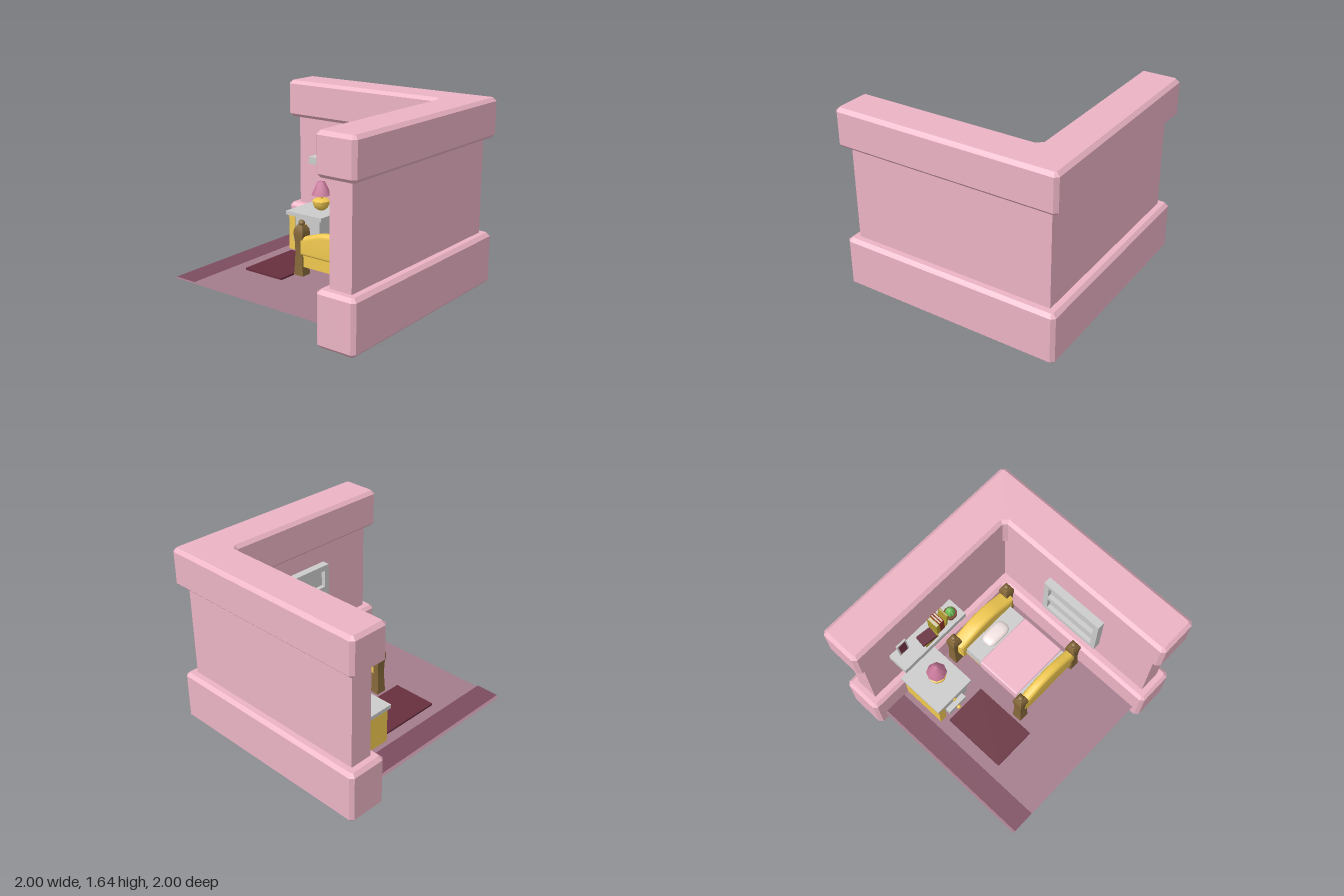
import * as THREE from 'three';
import { RoundedBoxGeometry } from 'three/addons/geometries/RoundedBoxGeometry.js';
import { toCreasedNormals } from 'three/addons/utils/BufferGeometryUtils.js';

const mat = (color, extra = {}) => new THREE.MeshStandardMaterial({ color, ...extra });
const wallPink = mat(0xebb3c4), grey = mat(0xcccccc), yellow = mat(0xf0c850), brown = mat(0x85683a);
const floorMat = mat(0xa37b8a, { side: THREE.DoubleSide });
const stripMat = mat(0x7b4c5e, { side: THREE.DoubleSide });
const plum = mat(0x68303f), olive = mat(0xa8962c), red = mat(0x8a3326), pages = mat(0xd8ccb4);
const lampPink = mat(0xc8789a, { side: THREE.DoubleSide }), blanketPink = mat(0xf0b8ca);
const pillowWhite = mat(0xf2e4e2), green = mat(0x6fbf5a), clay = mat(0x7a4a35);

export function createModel() {
  const room = new THREE.Group();
  room.name = 'bedroom';

  function add(name, geometry, material, parent = room) {
    const m = new THREE.Mesh(geometry, material);
    m.name = name;
    parent.add(m);
    return m;
  }
  // Box given by its lower and upper limits on each axis
  function box(name, material, x0, x1, y0, y1, z0, z1, parent = room) {
    const m = add(name, new THREE.BoxGeometry(x1 - x0, y1 - y0, z1 - z0), material, parent);
    m.position.set((x0 + x1) / 2, (y0 + y1) / 2, (z0 + z1) / 2);
    return m;
  }
  function group(name, parent = room) {
    const g = new THREE.Group();
    g.name = name;
    parent.add(g);
    return g;
  }
  const lathe = (pts, sides) => new THREE.LatheGeometry(pts.map(p => new THREE.Vector2(...p)), sides);

  // L-shaped wall section: outer limit, inner face, height range, chamfer
  function wallSection(name, outer, inner, y0, y1, c) {
    const corners = [[-outer, outer], [-outer, inner], [inner, inner], [inner, -outer], [outer, -outer], [outer, outer]]
      .map(p => new THREE.Vector2(...p));
    const pts = [];
    corners.forEach((p, i) => {
      if (!c) return pts.push(p);
      for (const q of [corners[(i + 5) % 6], corners[(i + 1) % 6]])
        pts.push(q.clone().sub(p).setLength(c).add(p));
    });
    const geo = new THREE.ExtrudeGeometry(new THREE.Shape(pts), {
      depth: y1 - y0 - 2 * c, bevelEnabled: c > 0, bevelSize: c, bevelOffset: -c, bevelThickness: c, bevelSegments: 1,
    });
    geo.rotateX(-Math.PI / 2).translate(0, y0 + c, 0);
    add(name, geo, wallPink);
  }
  wallSection('lowerWallBand', 1, 0.64, 0, 0.46, 0.03);
  wallSection('middleWall', 0.92, 0.72, 0.4, 1.34, 0);
  wallSection('upperWallBand', 1, 0.64, 1.3, 1.64, 0.03);

  // Floor, border strip and rug
  function sheet(name, material, x0, x1, z0, z1, y) {
    const m = add(name, new THREE.PlaneGeometry(x1 - x0, z1 - z0).rotateX(-Math.PI / 2), material);
    m.position.set((x0 + x1) / 2, y, (z0 + z1) / 2);
  }
  sheet('floor', floorMat, -0.92, 0.7, -0.7, 0.93, 0.165);
  sheet('floorStrip', stripMat, -0.9, -0.69, -0.7, 0.93, 0.18);
  box('rug', plum, -0.58, -0.175, 0.167, 0.185, -0.175, 0.43);

  // Window on the side wall
  const win = group('window');
  box('windowPane', grey, 0.69, 0.73, 0.66, 1.09, -0.18, 0.38, win);
  for (const [a, b] of [[0.64, 0.69], [0.85, 0.9], [1.06, 1.11]]) box('windowRail', grey, 0.65, 0.73, a, b, -0.2, 0.4, win);
  for (const z of [-0.2, 0.35]) box('windowStile', grey, 0.65, 0.73, 0.64, 1.11, z, z + 0.05, win);

  // Shelf with photo frame, books and cactus
  const shelf = group('shelf');
  box('shelfBoard', grey, -0.665, 0.04, 0.91, 0.975, -0.73, -0.53, shelf);
  const photo = group('photoFrame', shelf);
  box('frameBorder', grey, -0.05, 0.05, 0, 0.145, -0.008, 0.008, photo);
  box('framePicture', plum, -0.036, 0.036, 0.015, 0.13, 0, 0.011, photo);
  photo.position.set(-0.55, 0.975, -0.66);
  photo.rotation.x = -0.15;

  // A book lies along x with its spine facing front; covers wrap a block of pages
  function book(cover, w, h, d, x, y, z, turn = 0, tilt = 0) {
    const g = group('book', shelf);
    const t = 0.005;
    const standing = h > w;
    box('bookSpine', cover, -w / 2, w / 2, 0, h, d / 2 - t, d / 2, g);
    for (const s of [0, 1]) {
      if (standing) box('bookCover', cover, s ? w / 2 - t : -w / 2, s ? w / 2 : t - w / 2, 0, h, -d / 2, d / 2, g);
      else box('bookCover', cover, -w / 2, w / 2, s ? h - t : 0, s ? h : t, -d / 2, d / 2, g);
    }
    box('bookPages', pages, -w / 2 + 0.004, w / 2 - 0.004, 0.004, h - 0.004, -d / 2 + 0.004, d / 2 - 0.004, g);
    g.position.set(x, y, z);
    g.rotation.set(0, turn, tilt);
  }
  book(olive, 0.14, 0.03, 0.1, -0.33, 0.975, -0.6);
  book(plum, 0.14, 0.03, 0.1, -0.345, 1.007, -0.6, -0.12);
  book(olive, 0.036, 0.145, 0.11, -0.238, 0.975, -0.62);
  book(red, 0.024, 0.155, 0.11, -0.207, 0.975, -0.62);
  book(red, 0.026, 0.15, 0.11, -0.181, 0.975, -0.62);
  book(olive, 0.02, 0.145, 0.1, -0.148, 0.977, -0.62, 0, -0.2);

  const plant = group('pottedCactus', shelf);
  add('pot', lathe([[0, 0], [0.036, 0], [0.046, 0.06], [0.057, 0.06], [0.057, 0.08], [0.047, 0.08], [0.044, 0.07], [0, 0.07]], 12),
    mat(0x7a4a35, { flatShading: true }), plant);
  const ball = new THREE.SphereGeometry(1, 32, 12);
  const bp = ball.attributes.position;
  for (let i = 0; i < bp.count; i++) {
    const rib = 1 + 0.14 * Math.cos(8 * Math.atan2(bp.getZ(i), bp.getX(i)));
    bp.setXYZ(i, bp.getX(i) * rib * 0.038, bp.getY(i) * 0.055, bp.getZ(i) * rib * 0.038);
  }
  ball.computeVertexNormals();
  add('cactus', ball, green, plant).position.y = 0.1;
  plant.position.set(-0.065, 0.975, -0.6);

  // Nightstand
  const stand = group('nightstand');
  box('nightstandTop', grey, -0.66, -0.255, 0.5, 0.535, -0.66, -0.2, stand);
  box('nightstandBody', grey, -0.575, -0.295, 0.255, 0.5, -0.64, -0.23, stand);
  box('nightstandSidePanel', yellow, -0.64, -0.573, 0.175, 0.5, -0.64, -0.22, stand);
  box('drawer', grey, -0.555, -0.355, 0.28, 0.34, -0.24, -0.18, stand);
  for (const [y, z] of [[0.305, -0.17], [0.425, -0.22]])
    add('drawerKnob', new THREE.SphereGeometry(0.02, 14, 10), yellow, stand).position.set(-0.455, y, z);

  // Table lamp
  const lamp = group('lamp');
  add('lampBase', toCreasedNormals(lathe([[0, 0], [0.035, 0], [0.06, 0.02], [0.076, 0.055], [0.08, 0.085], [0.06, 0.1],
    [0.015, 0.105], [0.015, 0.16], [0, 0.16]], 20), 0.8), yellow, lamp);
  add('lampShade', lathe([[0.09, 0.14], [0.035, 0.26], [0, 0.265]], 8), lampPink, lamp);
  lamp.position.set(-0.435, 0.535, -0.43);

  // Bed posts: square turned legs topped with a ball
  const bed = group('bed');
  const r = Math.SQRT2;
  const post = toCreasedNormals(lathe([[0, 0], [0.048 * r, 0], [0.043 * r, 0.08], [0.038 * r, 0.2], [0.042 * r, 0.3],
    [0.049 * r, 0.36], [0.046 * r, 0.4], [0.028 * r, 0.435], [0, 0.44]], 4).rotateY(Math.PI / 4), 0.7);
  for (const x of [-0.105, 0.565])
    for (const z of [-0.555, 0.245]) {
      add('bedPost', post, brown, bed).position.set(x, 0.185, z);
      add('postBall', new THREE.SphereGeometry(0.028, 14, 10), brown, bed).position.set(x, 0.635, z);
    }

  // Arched head and foot boards with a rounded upper part
  function endBoard(name, z0, z1) {
    const g = group(name, bed);
    const b = 0.035;
    const s = new THREE.Shape();
    s.moveTo(-0.07, 0.36 + b);
    s.lineTo(0.53, 0.36 + b);
    s.lineTo(0.53, 0.525 - b);
    s.bezierCurveTo(0.4, 0.56 - b, 0.36, 0.595 - b, 0.23, 0.595 - b);
    s.bezierCurveTo(0.1, 0.595 - b, 0.06, 0.56 - b, -0.07, 0.525 - b);
    const geo = new THREE.ExtrudeGeometry(s, {
      depth: z1 - z0 - 2 * b, bevelSize: b, bevelThickness: b, bevelSegments: 6, curveSegments: 12,
    });
    add('boardArch', toCreasedNormals(geo, 0.6), yellow, g).position.z = z0 + b;
    box('boardPanel', yellow, -0.08, 0.54, 0.265, 0.37, z0 + 0.015, z1 - 0.015, g);
  }
  endBoard('footboard', 0.2, 0.29);
  endBoard('headboard', -0.6, -0.46);

  // Bedding
  box('bedBase', yellow, -0.04, 0.5, 0.27, 0.34, -0.48, 0.21, bed);
  box('mattress', grey, -0.05, 0.515, 0.33, 0.44, -0.48, 0.2, bed);
  const blanket = add('blanket', new RoundedBoxGeometry(0.585, 0.13, 0.445, 3, 0.015), blanketPink, bed);
  blanket.position.set(0.23, 0.39, -0.063);
  const pillow = new THREE.SphereGeometry(1, 24, 14);
  const pp = pillow.attributes.position;
  const square = v => Math.sign(v) * Math.abs(v) ** 0.6;
  for (let i = 0; i < pp.count; i++)
    pp.setXYZ(i, square(pp.getX(i)) * 0.13, pp.getY(i) * 0.04, square(pp.getZ(i)) * 0.073);
  pillow.computeVertexNormals();
  add('pillow', pillow, pillowWhite, bed).position.set(0.225, 0.465, -0.365);

  return room;
}
